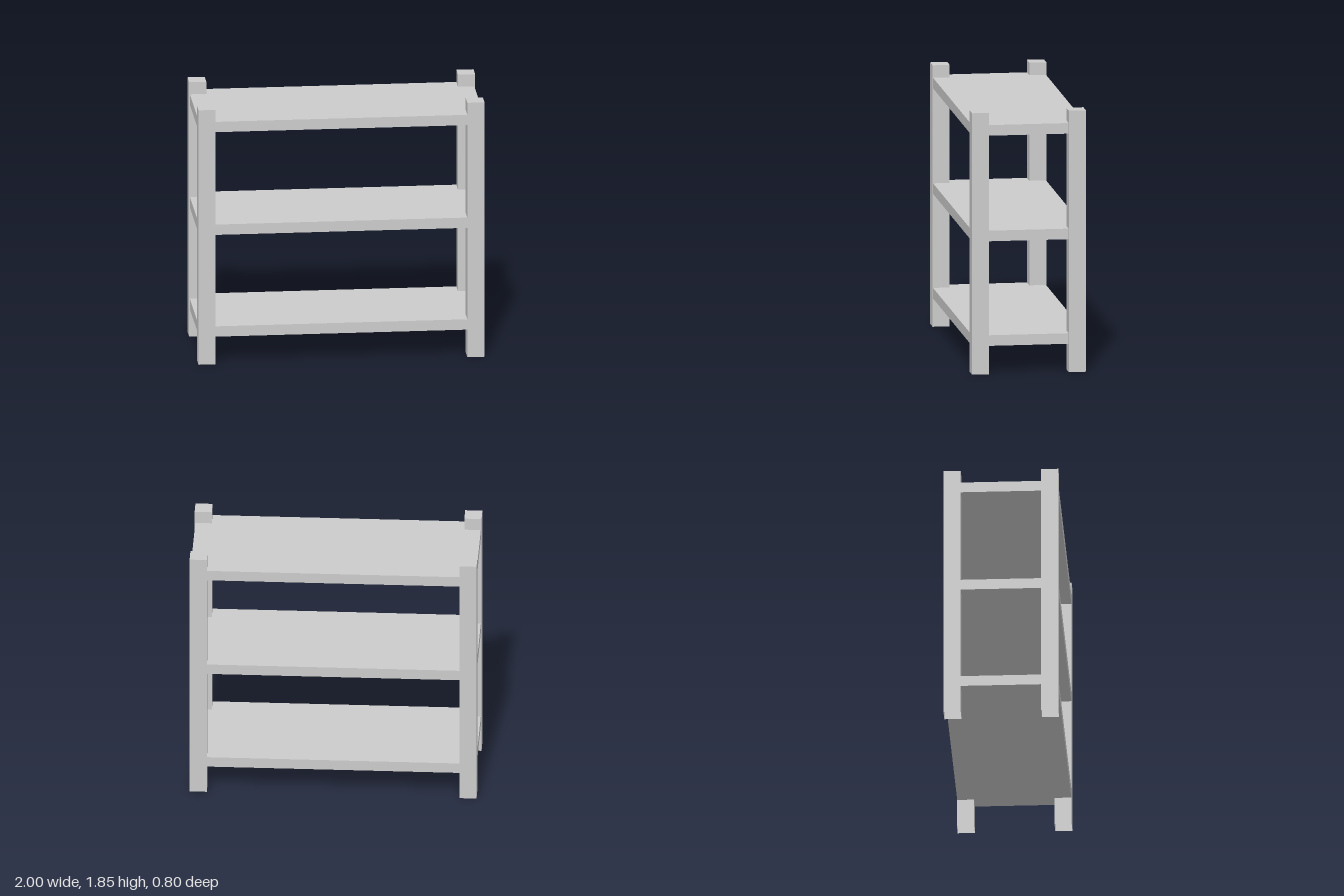
import * as THREE from 'three';

const HEIGHT = 1.85, POST = 0.12, BOARD = 0.075;

// Square post with a closed top and an open foot
function postGeometry() {
  const geometry = new THREE.BoxGeometry(POST, HEIGHT, POST);
  const index = Array.from(geometry.index.array);
  index.splice(18, 6); // drop the underside face
  geometry.setIndex(index);
  geometry.clearGroups();
  return geometry;
}

export function createModel() {
  const model = new THREE.Group();
  model.name = 'shelvingUnit';
  const boardMaterial = new THREE.MeshStandardMaterial({ color: 0xcccccc });
  const postMaterial = new THREE.MeshStandardMaterial({ color: 0xcccccc, side: THREE.DoubleSide });

  // Four corner posts
  const postShape = postGeometry();
  for (const [sx, xName] of [[1, 'Left'], [-1, 'Right']]) {
    for (const [sz, zName] of [[1, 'front'], [-1, 'back']]) {
      const post = new THREE.Mesh(postShape, postMaterial);
      post.name = `${zName}${xName}Post`;
      post.position.set(sx * (1 - POST / 2), HEIGHT / 2, sz * (0.4 - POST / 2));
      model.add(post);
    }
  }

  // Three shelves, set just inside the outer faces of the posts
  const boardShape = new THREE.BoxGeometry(1.99, BOARD, 0.795);
  const shelves = { bottomShelf: 0.2, middleShelf: 0.94, topShelf: 1.687 };
  for (const [name, underside] of Object.entries(shelves)) {
    const shelf = new THREE.Mesh(boardShape, boardMaterial);
    shelf.name = name;
    shelf.position.y = underside + BOARD / 2;
    model.add(shelf);
  }
  return model;
}
